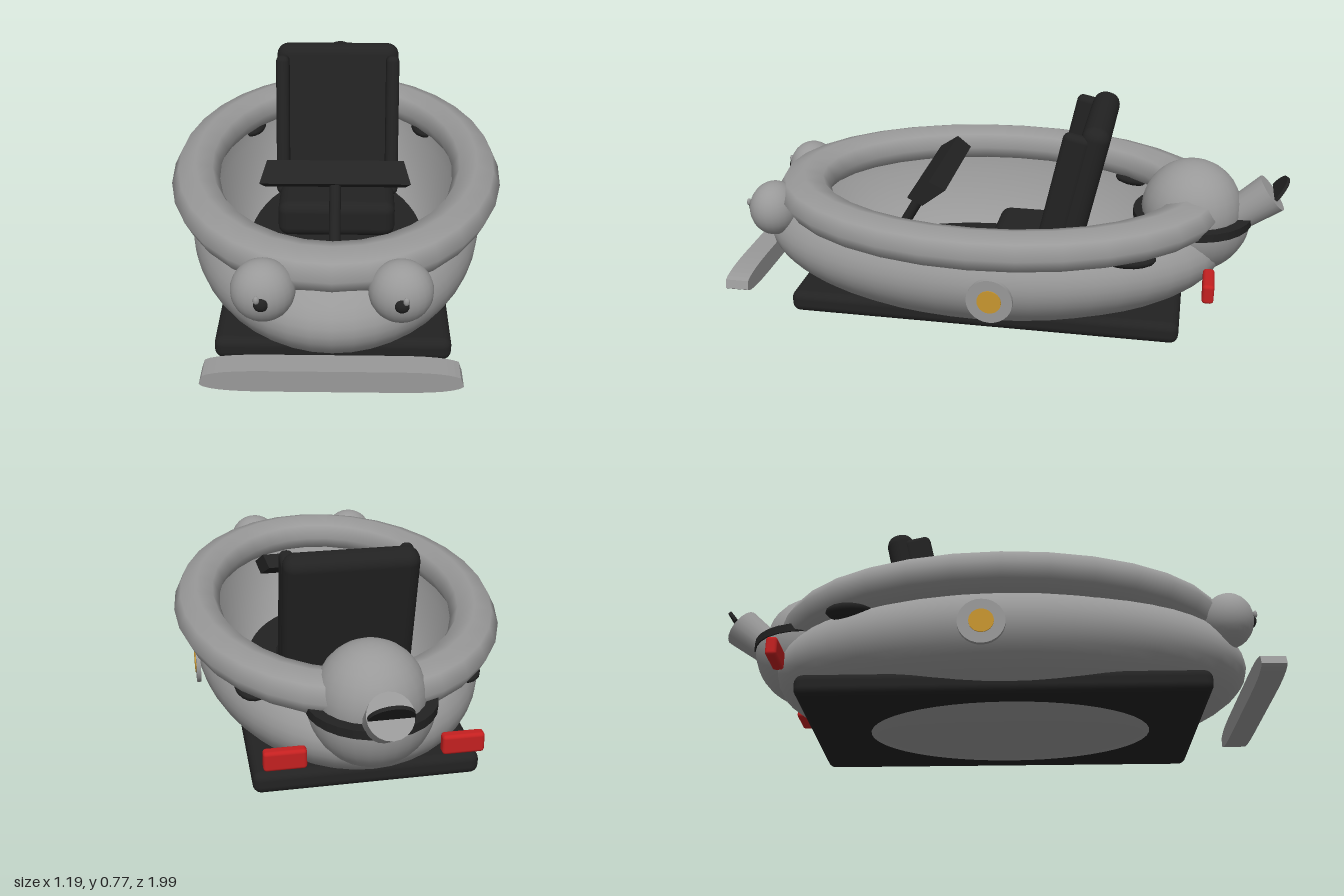
import * as THREE from 'three';
import { RoundedBoxGeometry } from 'three/addons/geometries/RoundedBoxGeometry.js';
import { ParametricGeometry } from 'three/addons/geometries/ParametricGeometry.js';

export function createModel() {
  const model = new THREE.Group();
  model.name = 'hoverCar';

  const mat = (name, color) => {
    const m = new THREE.MeshStandardMaterial({ color });
    m.name = name;
    return m;
  };
  const grey = mat('bodyGrey', 0x999999);
  const black = mat('trimBlack', 0x222222);
  const red = mat('lampRed', 0xc42020);
  const gold = mat('badgeGold', 0xc8962f);

  const add = (name, geo, material, x = 0, y = 0, z = 0, parent = model) => {
    const mesh = new THREE.Mesh(geo, material);
    mesh.name = name;
    mesh.position.set(x, y, z);
    parent.add(mesh);
    return mesh;
  };
  const box = (w, h, d, r) => new RoundedBoxGeometry(w, h, d, 3, r);
  const ball = (rx, ry, rz, n = 24) => new THREE.SphereGeometry(1, n, n * 0.7 | 0).scale(rx, ry, rz);

  // Hull: an ellipsoid bowl cut off beneath the rim, with an inner tub
  const outer = [];
  for (let i = 0; i <= 20; i++) {
    const a = -Math.PI / 2 + (i / 20) * (Math.PI / 2 + Math.asin(0.13 / 0.27));
    outer.push(new THREE.Vector2(Math.max(0, Math.cos(a)), 0.27 + 0.27 * Math.sin(a)));
  }
  const inner = [[0.877, 0.4], [0.85, 0.32], [0.75, 0.2], [0.635, 0.13], [0.5, 0.09]]
    .map(([r, y]) => new THREE.Vector2(r, y));
  for (const [name, points] of [['hull', outer], ['innerTub', inner]]) {
    add(name, new THREE.LatheGeometry(points, 48).scale(0.52, 1, 0.865), grey, 0, 0, 0.08);
  }

  // Padded oval rim with an eight-sided section
  add('rim', new ParametricGeometry((u, v, p) => {
    const a = u * Math.PI * 2, b = v * Math.PI * 2;
    p.set((0.508 + 0.085 * Math.cos(b)) * Math.cos(a),
      0.07 * Math.sin(b),
      -(0.735 + 0.1 * Math.cos(b)) * Math.sin(a));
  }, 32, 8), grey, 0, 0.428, 0.06);

  // Base plate, also the cockpit floor
  add('basePlate', box(0.77, 0.08, 1.4, 0.03), black, 0, 0.09, 0.06);

  // Front bumper bar
  const bar = new THREE.Shape();
  bar.moveTo(-0.4, 0.135);
  bar.quadraticCurveTo(-0.38, 0.11, -0.2, 0.11);
  bar.lineTo(0.2, 0.11);
  bar.quadraticCurveTo(0.38, 0.11, 0.4, 0.135);
  bar.lineTo(0.39, 0.165);
  bar.quadraticCurveTo(0.35, 0.185, 0.2, 0.185);
  bar.lineTo(-0.2, 0.185);
  bar.quadraticCurveTo(-0.35, 0.185, -0.39, 0.165);
  add('frontBumper', new THREE.ExtrudeGeometry(bar, { depth: 0.085, bevelEnabled: false, curveSegments: 6 }),
    grey, 0, 0, 0.915);

  // Tail: dome, lower bowl and dark collar between them
  add('tailDome', ball(0.18, 0.18, 0.18), grey, 0, 0.41, -0.655);
  add('tailBowl', new THREE.SphereGeometry(0.21, 28, 12, 0, Math.PI * 2, Math.PI / 2, Math.PI / 2),
    grey, 0, 0.385, -0.66);
  add('tailCollar', new THREE.CylinderGeometry(0.215, 0.215, 0.03, 28), black, 0, 0.385, -0.66);

  // Exhaust nozzle with its half-round flap
  const nozzle = add('exhaustNozzle', new THREE.CylinderGeometry(0.074, 0.06, 0.17, 20), grey, 0, 0.435, -0.87);
  nozzle.rotation.x = -0.9;
  const half = new THREE.Shape();
  half.absarc(0, 0, 0.072, 0, Math.PI, false);
  const flap = add('exhaustFlap', new THREE.ExtrudeGeometry(half, { depth: 0.012, bevelEnabled: false }),
    black, 0, 0.485, -0.95);
  flap.rotation.x = -0.64;

  // Seat: cushion and a reclined back with side bolsters
  const seat = new THREE.Group();
  seat.name = 'seat';
  model.add(seat);
  add('seatCushion', box(0.44, 0.14, 0.32, 0.04), black, 0, 0.2, -0.075, seat);
  const back = new THREE.Group();
  back.name = 'seatBack';
  back.position.set(0, 0.2, -0.2);
  back.rotation.x = -0.22;
  seat.add(back);
  add('backrest', box(0.47, 0.59, 0.1, 0.045), black, 0, 0.285, 0, back);

  // Dashboard: a wedge section that narrows towards the driver
  const wedge = new THREE.Shape([[-0.34, 0.485], [-0.29, 0.45], [-0.21, 0.505], [-0.265, 0.54]]
    .map(([x, y]) => new THREE.Vector2(x, y)));
  const dash = new THREE.ExtrudeGeometry(wedge, { depth: 2, bevelEnabled: false });
  dash.translate(0, 0, -1).rotateY(Math.PI / 2);
  const p = dash.attributes.position;
  for (let i = 0; i < p.count; i++) {
    p.setX(i, p.getX(i) * (0.22 + (p.getZ(i) - 0.21) * 0.31));
  }
  dash.computeVertexNormals();
  add('dashboard', dash, black);
  const post = add('steeringPost', new THREE.CylinderGeometry(0.02, 0.02, 0.42, 12), black, 0, 0.31, 0.4);
  post.rotation.x = -0.53;

  // Mirrored parts
  for (const s of [1, -1]) {
    add('seatBolster', box(0.05, 0.54, 0.1, 0.022), black, s * 0.21, 0.27, 0.06, back);
    add('headlamp', ball(0.1, 0.1, 0.09), grey, s * 0.21, 0.385, 0.86);
    add('headlampPupil', ball(0.025, 0.025, 0.02, 10), black, s * 0.21, 0.383, 0.94);
    add('headlampGlint', ball(0.01, 0.014, 0.008, 8), grey, s * 0.222, 0.405, 0.955);
    add('tailLamp', box(0.14, 0.07, 0.04, 0.012), red, s * 0.29, 0.245, -0.73);
    add('rearVent', ball(0.06, 0.03, 0.1, 16), black, s * 0.36, 0.365, -0.45);

    // Round side badge
    const disc = add('sideBadge', new THREE.CylinderGeometry(0.08, 0.08, 0.015, 28), grey, s * 0.52, 0.243, -0.005);
    disc.rotation.z = Math.PI / 2;
    const centre = add('sideBadgeCentre', new THREE.CylinderGeometry(0.042, 0.042, 0.004, 24), gold,
      s * 0.529, 0.243, -0.005);
    centre.rotation.z = Math.PI / 2;
  }

  return model;
}
